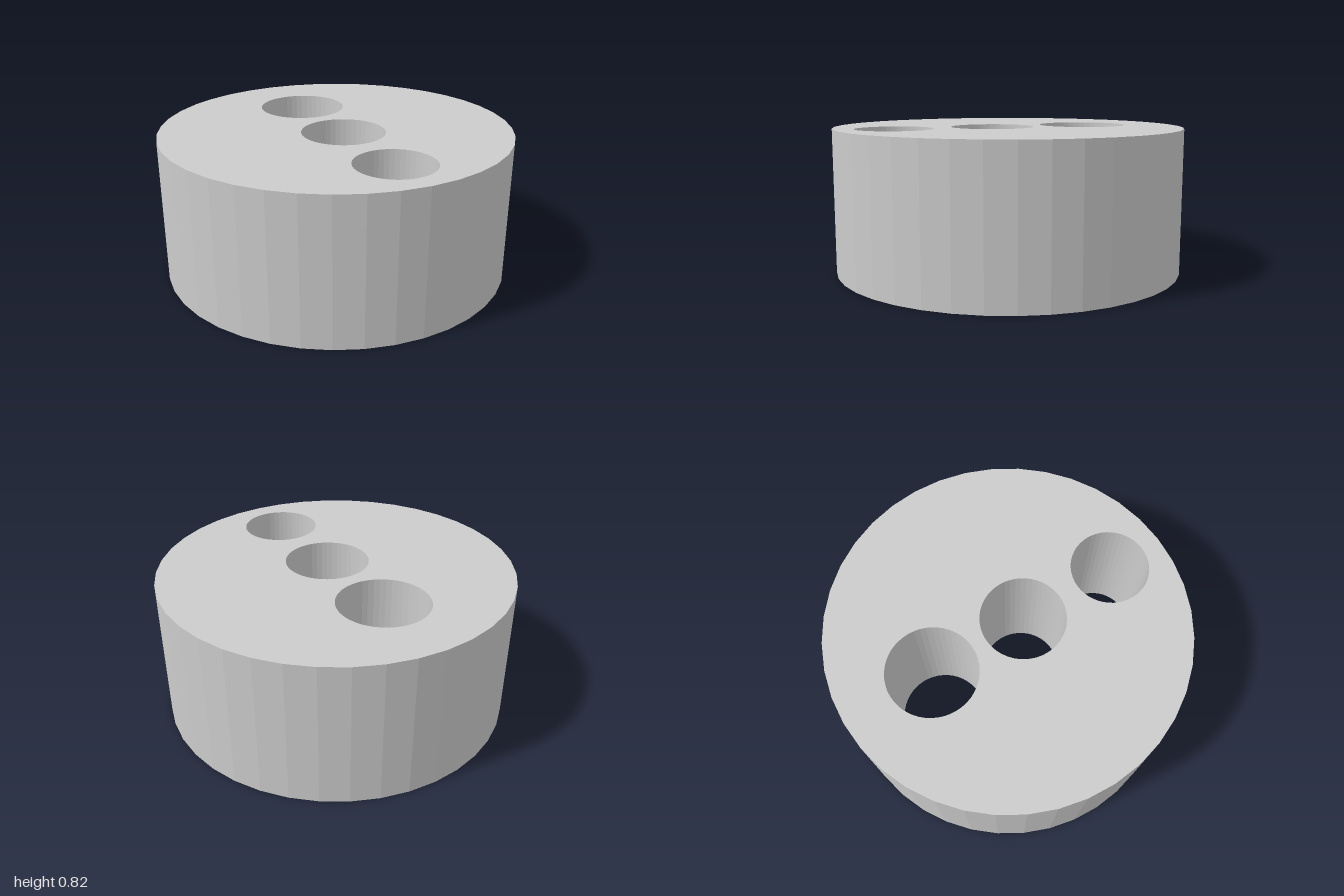
import * as THREE from 'three';

const HEIGHT = 0.82;

// Points of a regular polygon approximating a circle
function ring(x, y, radius, sides) {
  return Array.from({ length: sides }, (_, i) => {
    const a = (i / sides) * Math.PI * 2;
    return new THREE.Vector2(x + radius * Math.cos(a), y + radius * Math.sin(a));
  });
}

export function createModel() {
  const group = new THREE.Group();
  group.name = 'drilledDisc';

  // Faceted disc outline
  const outline = new THREE.Shape(ring(0, 0, 1, 40));

  // Three through holes in a row, growing towards the back: [z, radius]
  for (const [z, radius] of [[0.67, 0.218], [0.097, 0.237], [-0.475, 0.252]]) {
    outline.holes.push(new THREE.Path(ring(0, -z, radius, 48)));
  }

  const geometry = new THREE.ExtrudeGeometry(outline, { depth: HEIGHT, bevelEnabled: false });
  geometry.rotateX(-Math.PI / 2);

  const disc = new THREE.Mesh(
    geometry,
    new THREE.MeshStandardMaterial({ color: 0xcccccc, flatShading: true })
  );
  disc.name = 'discBody';
  group.add(disc);
  return group;
}
